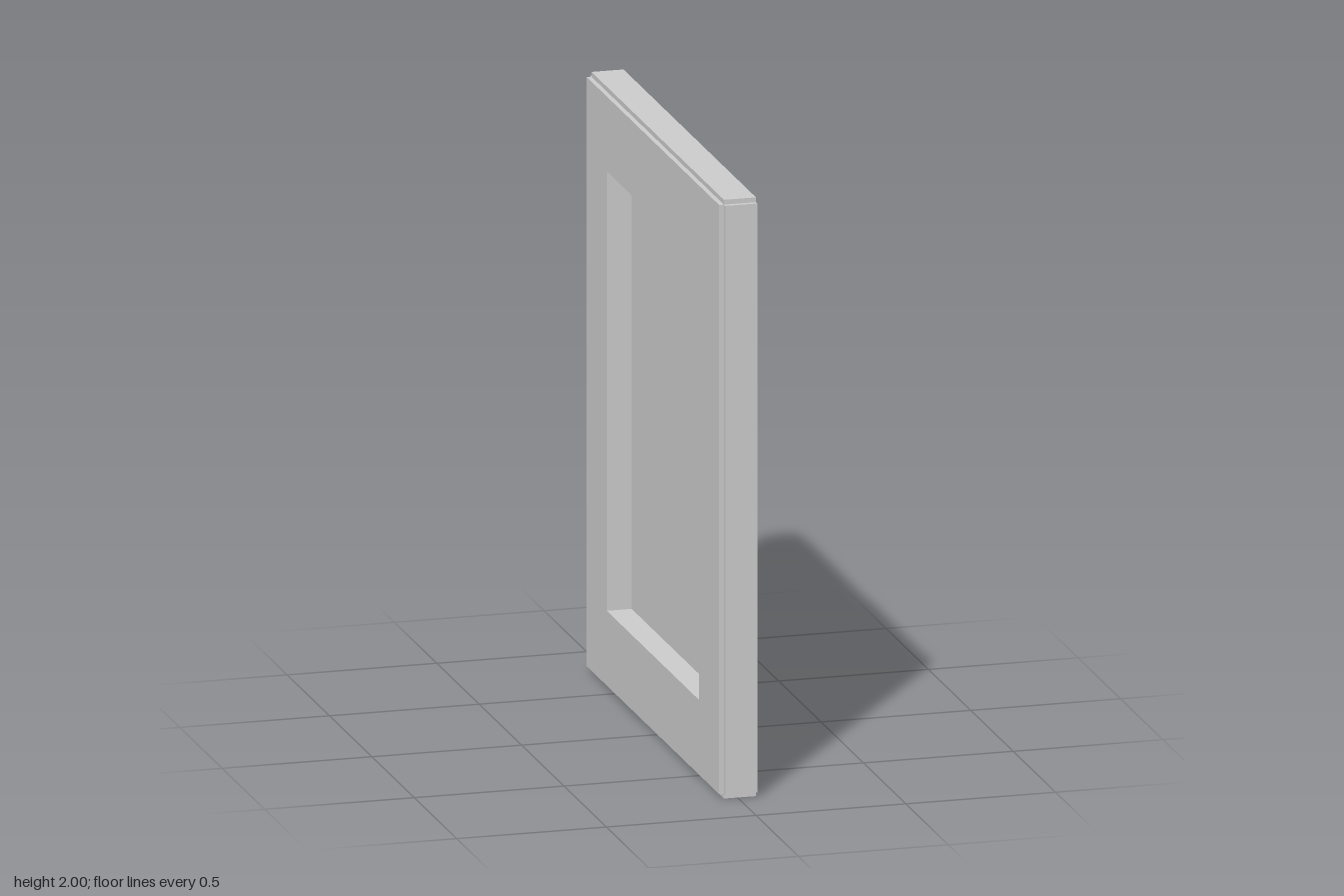
import * as THREE from 'three';

const H = 2, D = 1.594, W = 0.123;       // overall height (y), depth (z), width (x)
const T = 0.016;                         // sheet thickness
const WIN_H = 1.468, WIN_D = 1.088;      // window opening
const POCKET = 0.067;                    // pocket depth behind the plate

export function createModel() {
  const group = new THREE.Group();
  const mat = new THREE.MeshStandardMaterial({ color: 0xcccccc, flatShading: true });
  const sheetMat = mat.clone();
  sheetMat.side = THREE.DoubleSide;

  const add = (name, geometry, x, y, z, material = mat) => {
    const mesh = new THREE.Mesh(geometry, material);
    mesh.name = name;
    mesh.position.set(x, y, z);
    group.add(mesh);
  };

  const rect = (Type, w, h) => new Type([
    new THREE.Vector2(-w / 2, -h / 2), new THREE.Vector2(w / 2, -h / 2),
    new THREE.Vector2(w / 2, h / 2), new THREE.Vector2(-w / 2, h / 2),
  ]);

  // Face plate with a window, on the -x side
  const shape = rect(THREE.Shape, D - 2 * T, H - 2 * T);
  shape.holes.push(rect(THREE.Path, WIN_D, WIN_H));
  const plate = new THREE.ExtrudeGeometry(shape, { depth: T, bevelEnabled: false });
  plate.rotateY(Math.PI / 2);
  add('facePlate', plate, -W / 2, H / 2, 0);

  // Flanges around the plate, leaving the corners notched
  const flangeX = T / 2, flangeW = W - T;
  for (const s of [-1, 1]) {
    add(s > 0 ? 'topFlange' : 'bottomFlange',
      new THREE.BoxGeometry(flangeW, T, D - 2 * T), flangeX, H / 2 + s * (H - T) / 2, 0);
    add(s > 0 ? 'frontFlange' : 'backFlange',
      new THREE.BoxGeometry(flangeW, H - 2 * T, T), flangeX, H / 2, s * (D - T) / 2);
  }

  // Thin pocket behind the window, open on the -x side
  const pocket = new THREE.BoxGeometry(POCKET, WIN_H, WIN_D);
  const index = Array.from(pocket.index.array);
  index.splice(6, 6);
  pocket.setIndex(index);
  pocket.clearGroups();
  add('windowPocket', pocket, -W / 2 + T + POCKET / 2, H / 2, 0, sheetMat);

  return group;
}
